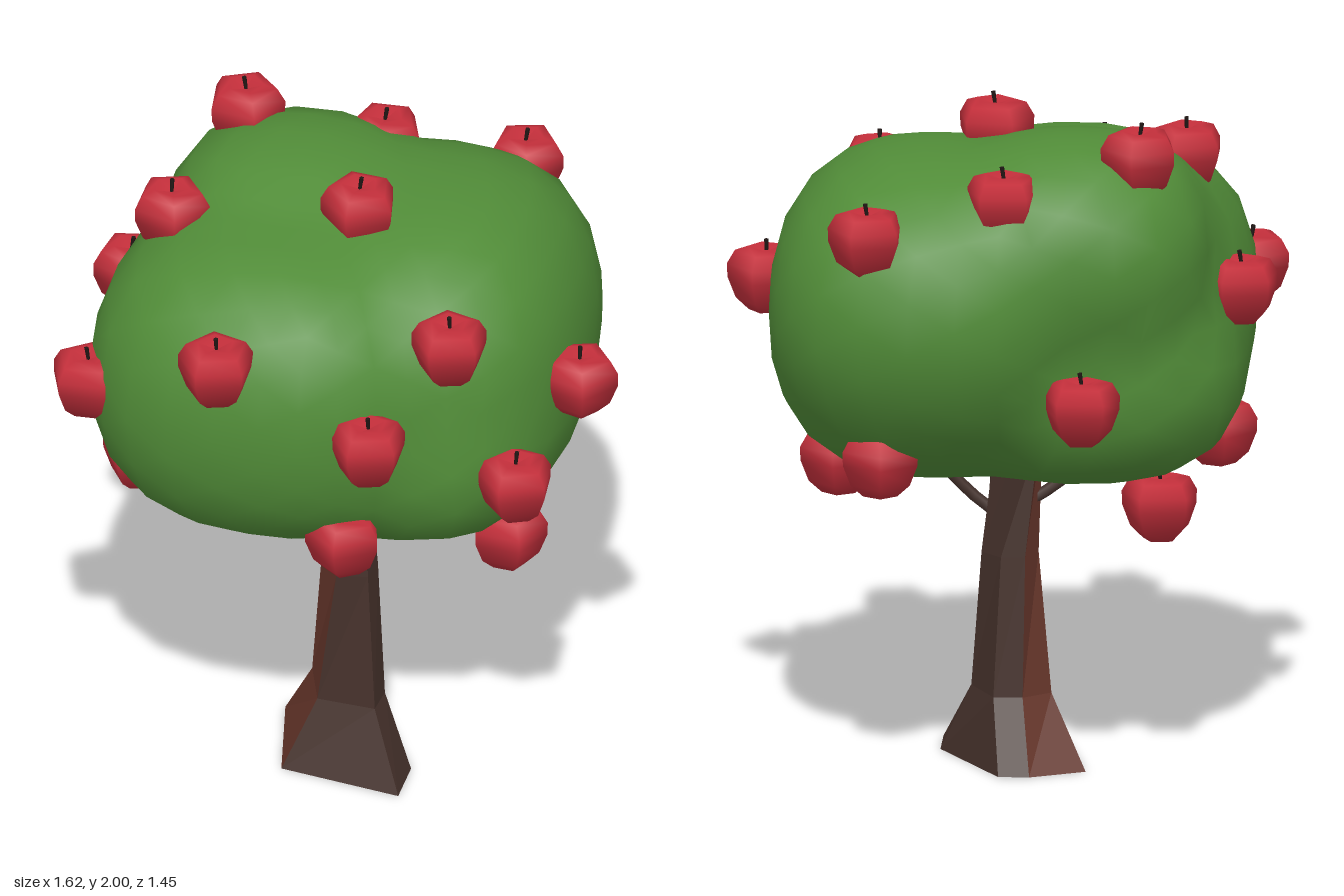
import * as THREE from 'three';
import { mergeVertices } from 'three/addons/utils/BufferGeometryUtils.js';

const paint = (name, color) => {
  const m = new THREE.MeshStandardMaterial({ color });
  m.name = name;
  return m;
};

export function createModel() {
  const leaf = paint('leafGreen', 0x518c38);
  const red = paint('appleRed', 0xc42f3b);
  const bark = paint('darkBark', 0x44302a);
  const warmBark = paint('reddishBark', 0x65352a);
  const stemBrown = paint('stemBrown', 0x211715);

  const tree = new THREE.Group();
  tree.name = 'appleTree';
  const add = (geometry, material, name, parent = tree) => {
    const mesh = new THREE.Mesh(geometry, material);
    mesh.name = name;
    parent.add(mesh);
    return mesh;
  };

  // Trunk: uneven six-sided rings with a flared foot, each a height and [x, z] corners
  const rings = [
    [0, [[-0.18, 0.17], [-0.25, -0.16], [-0.09, -0.235], [0, -0.235], [0.185, 0.08], [0.185, 0.235]]],
    [0.21, [[-0.09, 0.1], [-0.145, -0.06], [-0.065, -0.125], [0.02, -0.125], [0.092, 0.02], [0.085, 0.115]]],
    [0.62, [[-0.04, 0.075], [-0.105, -0.01], [-0.07, -0.085], [0, -0.09], [0.06, -0.025], [0.05, 0.055]]],
    [0.98, [[0.01, 0.06], [-0.115, 0.03], [-0.11, -0.05], [-0.05, -0.085], [0.015, -0.07], [0.03, 0.02]]],
  ];
  const corner = ([y, ring], i) => [ring[i % 6][0], y, ring[i % 6][1]];
  const sides = [[], []]; // dark faces, reddish faces
  for (let i = 0; i < 6; i++) {
    const out = sides[i < 2 ? 1 : 0];
    for (let k = 0; k < rings.length - 1; k++) {
      const a = corner(rings[k], i), b = corner(rings[k], i + 1);
      const c = corner(rings[k + 1], i), d = corner(rings[k + 1], i + 1);
      out.push(...a, ...c, ...b, ...b, ...c, ...d);
    }
    sides[0].push(-0.03, 0, 0, ...corner(rings[0], i), ...corner(rings[0], i + 1));
  }
  const trunk = new THREE.BufferGeometry();
  trunk.setAttribute('position', new THREE.Float32BufferAttribute(sides.flat(), 3));
  trunk.addGroup(0, sides[0].length / 3, 0);
  trunk.addGroup(sides[0].length / 3, sides[1].length / 3, 1);
  trunk.computeVertexNormals();
  add(trunk, [bark, warmBark], 'trunk');

  // Two thin branches reaching into the crown
  const branch = (...points) => {
    const curve = new THREE.CatmullRomCurve3(points.map((p) => new THREE.Vector3(...p)));
    add(new THREE.TubeGeometry(curve, 6, 0.018, 5), bark, 'branch');
  };
  branch([0, 0.72, -0.01], [0.09, 0.79, -0.01], [0.22, 0.93, -0.02]);
  branch([-0.05, 0.75, 0], [-0.14, 0.805, 0.01], [-0.27, 0.91, 0.02]);

  // Crown: a ball pulled out to the surface of four softly merged lobes;
  // shift slides the lower half of a lobe along z
  const lobes = [
    { c: [0.2, 1.37, -0.14], r: [0.47, 0.5, 0.575], shift: -0.28 }, // right
    { c: [-0.2, 1.36, 0.14], r: [0.535, 0.48, 0.5], shift: 0.06 }, // front left
    { c: [-0.22, 1.59, -0.21], r: [0.4, 0.335, 0.385], shift: 0 }, // upper back left
    { c: [-0.24, 1.2, -0.1], r: [0.47, 0.33, 0.41], shift: 0 }, // lower back left
  ];
  const field = (p) => lobes.reduce((sum, { c, r, shift }) => {
    const dy = p.y - c[1];
    const x = Math.abs((p.x - c[0]) / r[0]);
    const z = Math.abs((p.z - c[2] - shift * Math.min(dy, 0)) / r[2]);
    const size = (x ** 2.45 + z ** 2.45 + Math.abs(dy / r[1]) ** 2.45) ** (1 / 2.45);
    return sum + Math.exp(-24 * (size - 1));
  }, 0);
  let crown = new THREE.IcosahedronGeometry(1, 5);
  crown.deleteAttribute('normal');
  crown.deleteAttribute('uv');
  crown = mergeVertices(crown, 1e-4);
  const centre = new THREE.Vector3(-0.02, 1.37, -0.03);
  const pos = crown.attributes.position;
  const dir = new THREE.Vector3(), p = new THREE.Vector3();
  for (let i = 0; i < pos.count; i++) {
    dir.fromBufferAttribute(pos, i).normalize();
    let t = 1.1;
    do {
      t -= 0.003;
      p.copy(centre).addScaledVector(dir, t);
    } while (t > 0.2 && field(p) < 1);
    pos.setXYZ(i, p.x, p.y, p.z);
  }
  crown.computeVertexNormals();
  add(crown, leaf, 'crown');

  // Apples: five-sided lathed bodies with a short stem
  const profile = [[0, -0.088], [0.052, -0.097], [0.09, -0.062], [0.114, 0],
    [0.115, 0.04], [0.092, 0.08], [0.055, 0.092], [0, 0.075]];
  const body = new THREE.LatheGeometry(profile.map(([x, y]) => new THREE.Vector2(x, y)), 5);
  const stem = new THREE.CylinderGeometry(0.007, 0.005, 0.05, 5);

  // x, y, z and the heading of one corner in degrees
  const apples = [
    [-0.42, 1.885, -0.37, -80], [-0.53, 1.79, 0.08, 0], [0.025, 1.865, 0.05, 97],
    [-0.26, 1.625, 0.63, 180], [0.38, 1.655, 0.4, 180], [-0.7, 1.445, -0.125, 80],
    [-0.7, 1.385, 0.4, -92], [0.18, 1.385, 0.575, 180], [0.69, 1.405, 0.085, 0],
    [0.57, 1.2, 0.37, 30], [0.36, 1.69, -0.595, 75], [-0.03, 1.775, -0.475, 88],
    [-0.26, 1.18, -0.55, 90], [0.08, 0.995, 0.46, 20], [-0.62, 0.965, 0.09, 40],
    [-0.47, 0.815, -0.22, 10], [0.48, 0.86, 0.1, 60], [0.33, 0.995, -0.46, 50],
  ];
  for (const [x, y, z, heading] of apples) {
    const apple = new THREE.Group();
    apple.name = 'apple';
    apple.position.set(x, y, z);
    apple.rotation.y = THREE.MathUtils.degToRad(90 - heading);
    add(body, red, 'appleBody', apple);
    const s = add(stem, stemBrown, 'appleStem', apple);
    s.position.set(0.002, 0.09, 0);
    s.rotation.z = -0.15;
    tree.add(apple);
  }
  return tree;
}
